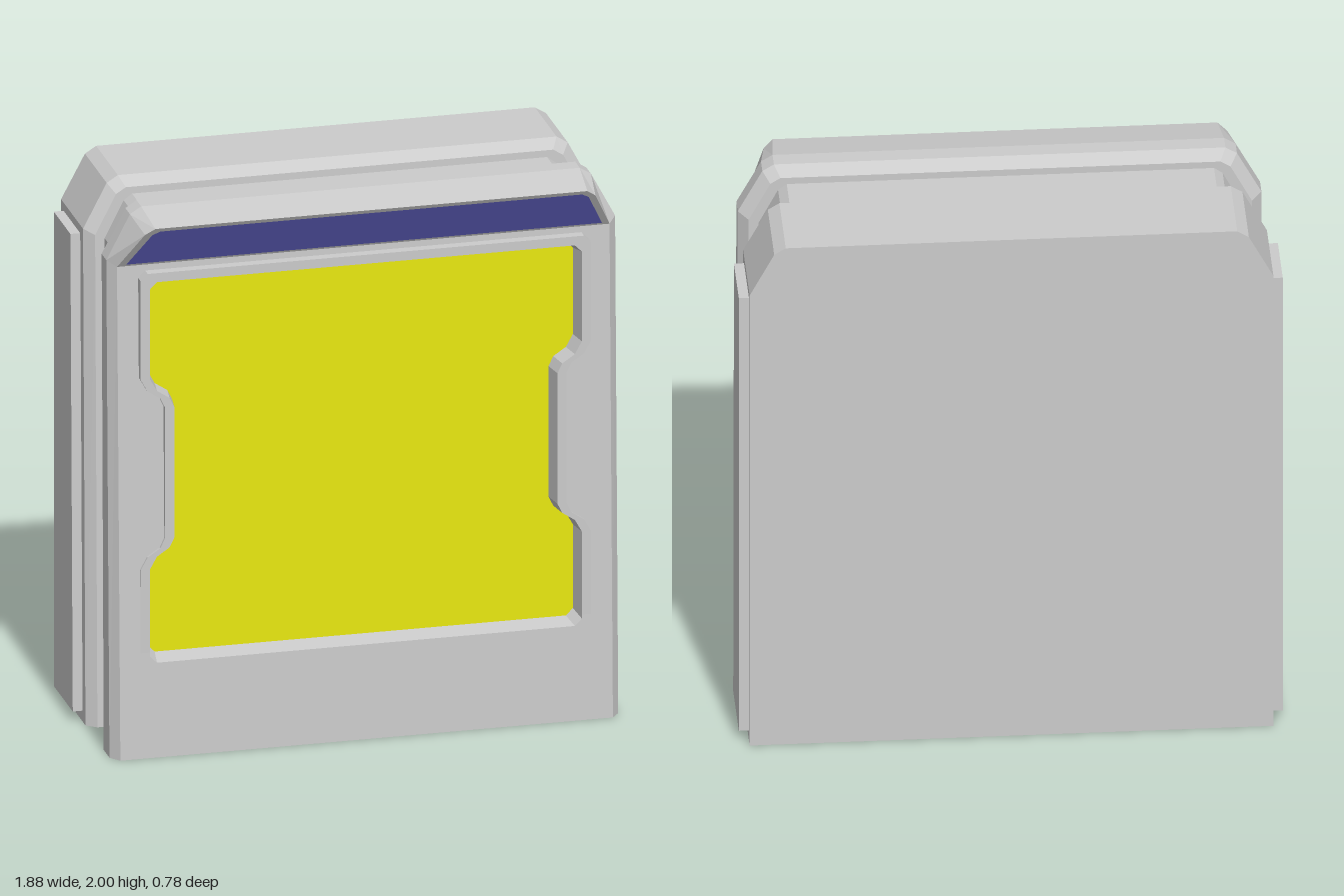
import * as THREE from 'three';

const paint = (color) => new THREE.MeshStandardMaterial({ color, flatShading: true, side: THREE.DoubleSide });
const grey = paint(0xcccccc), yellow = paint(0xe8e810), blue = paint(0x6666cc);

// Surface through a list of sections; each section is a list of [x, y, z]
function loft(sections, { ring = false, capBack = false, capFront = false } = {}) {
  const v = [];
  const n = sections[0].length, m = sections.length;
  for (let s = 0; s < (ring ? m : m - 1); s++) {
    const a = sections[s], b = sections[(s + 1) % m];
    for (let i = 0; i < (ring ? n : n - 1); i++) {
      const j = (i + 1) % n;
      v.push(...a[i], ...a[j], ...b[i], ...a[j], ...b[j], ...b[i]);
    }
  }
  for (let k = 1; k < n - 1; k++) {
    const a = sections[0], b = sections[m - 1];
    if (capBack) v.push(...a[0], ...a[k + 1], ...a[k]);
    if (capFront) v.push(...b[0], ...b[k], ...b[k + 1]);
  }
  const g = new THREE.BufferGeometry();
  g.setAttribute('position', new THREE.Float32BufferAttribute(v, 3));
  g.computeVertexNormals();
  return g;
}

// Mirror the +x half of an outline, bottom to top, onto -x
const mirror = (half) => [...half, ...half.slice().reverse().map(([x, ...r]) => [-x, ...r])];

// Cabinet outlines with chamfered, slightly softened top corners
const OUTER = mirror([[0.907, 0], [0.907, 1.815], [0.822, 1.975], [0.782, 2]]);
const BEVEL = mirror([[0.872, 0], [0.872, 1.80], [0.797, 1.943], [0.762, 1.965]]);
const NECK = mirror([[0.838, 0], [0.838, 1.785], [0.77, 1.918], [0.74, 1.94]]);

// Place an outline at a depth that leans from zBottom to zTop
const at = (outline, zBottom, zTop = zBottom) =>
  outline.map(([x, y]) => [x, y, zBottom + (zTop - zBottom) * y / 2]);

// Notched screen outline, grown outward by d
const notched = (d) => mirror([
  [0.745, 0.345 - d], [0.77, 0.37 - d], [0.77, 0.5], [0.77, 0.69], [0.745, 0.735], [0.7, 0.765],
  [0.683, 0.80], [0.683, 1.28], [0.7, 1.315], [0.745, 1.345], [0.77, 1.39],
  [0.77, 1.72 + d], [0.745, 1.745 + d],
].map(([x, y]) => [x + d, y]));

const toShape = (pts) => new THREE.Shape(pts.map(([x, y]) => new THREE.Vector2(x, y)));
const faceZ = (y) => 0.324 - 0.026 * y;                 // sloping front face
const visorZ = (y) => faceZ(1.8) + (y - 1.8) * 0.67;    // overhanging visor face

export function createModel() {
  const model = new THREE.Group();
  const add = (name, geometry, material = grey) => {
    const mesh = new THREE.Mesh(geometry, material);
    mesh.name = name;
    model.add(mesh);
  };

  // Cabinet: rear shell, recessed neck and front shell, open underneath
  add('rearBody', loft([
    at(OUTER, -0.39), at(OUTER, -0.05, -0.087), at(BEVEL, -0.02, -0.055), at(NECK, -0.02, -0.055),
  ], { capBack: true }));
  add('neck', loft([at(NECK, -0.02, -0.055), at(NECK, 0.17, 0.137)]));
  const frontEdge = mirror([
    [0.878, 0, faceZ(0)], [0.878, 1.8, faceZ(1.8)], [0.803, 1.945, visorZ(1.945)], [0.77, 1.97, visorZ(1.97)],
  ]);
  add('frontBody', loft([
    at(NECK, 0.17, 0.137), at(BEVEL, 0.17, 0.137), at(OUTER, 0.205, 0.173),
    at(OUTER, 0.285, 0.237), frontEdge,
  ]));

  // Front face, with an opening for the screen
  const face = toShape([[-0.878, 0], [0.878, 0], [0.878, 1.8], [-0.878, 1.8]]);
  face.holes.push(toShape(notched(0)));
  const faceGeometry = new THREE.ShapeGeometry(face);
  const p = faceGeometry.attributes.position;
  for (let i = 0; i < p.count; i++) p.setZ(i, faceZ(p.getY(i)));
  faceGeometry.computeVertexNormals();
  add('frontFace', faceGeometry);

  // Visor and its coloured sign panel
  add('visor', loft([frontEdge.slice(1, -1)], { capFront: true }));
  const sign = mirror([[0.848, 1.81], [0.778, 1.943], [0.752, 1.958]])
    .map(([x, y]) => [x, y, visorZ(y) + 0.005]);
  add('signPanel', loft([sign], { capFront: true }), blue);

  // Screen frame with tapered inner walls
  add('screenFrame', loft([
    at(notched(0.033), 0.215), at(notched(0.033), 0.314), at(notched(0), 0.314), at(notched(-0.015), 0.215),
  ], { ring: true }));

  // Screen slab
  const screen = new THREE.ExtrudeGeometry(toShape(notched(-0.012)), { depth: 0.03, bevelEnabled: false });
  add('screen', screen.translate(0, 0, 0.205), yellow);

  // Side panels, with front edges that lean back like the shell
  for (const side of [1, -1]) {
    const panel = new THREE.BoxGeometry(0.05, 1.745, 0.265);
    panel.translate(side * 0.917, 0.9125, -0.2225);
    const q = panel.attributes.position;
    for (let i = 0; i < q.count; i++) {
      if (q.getZ(i) > -0.2) q.setZ(i, -0.089 - 0.019 * q.getY(i));
    }
    panel.computeVertexNormals();
    add(side > 0 ? 'leftSidePanel' : 'rightSidePanel', panel);
  }
  return model;
}
